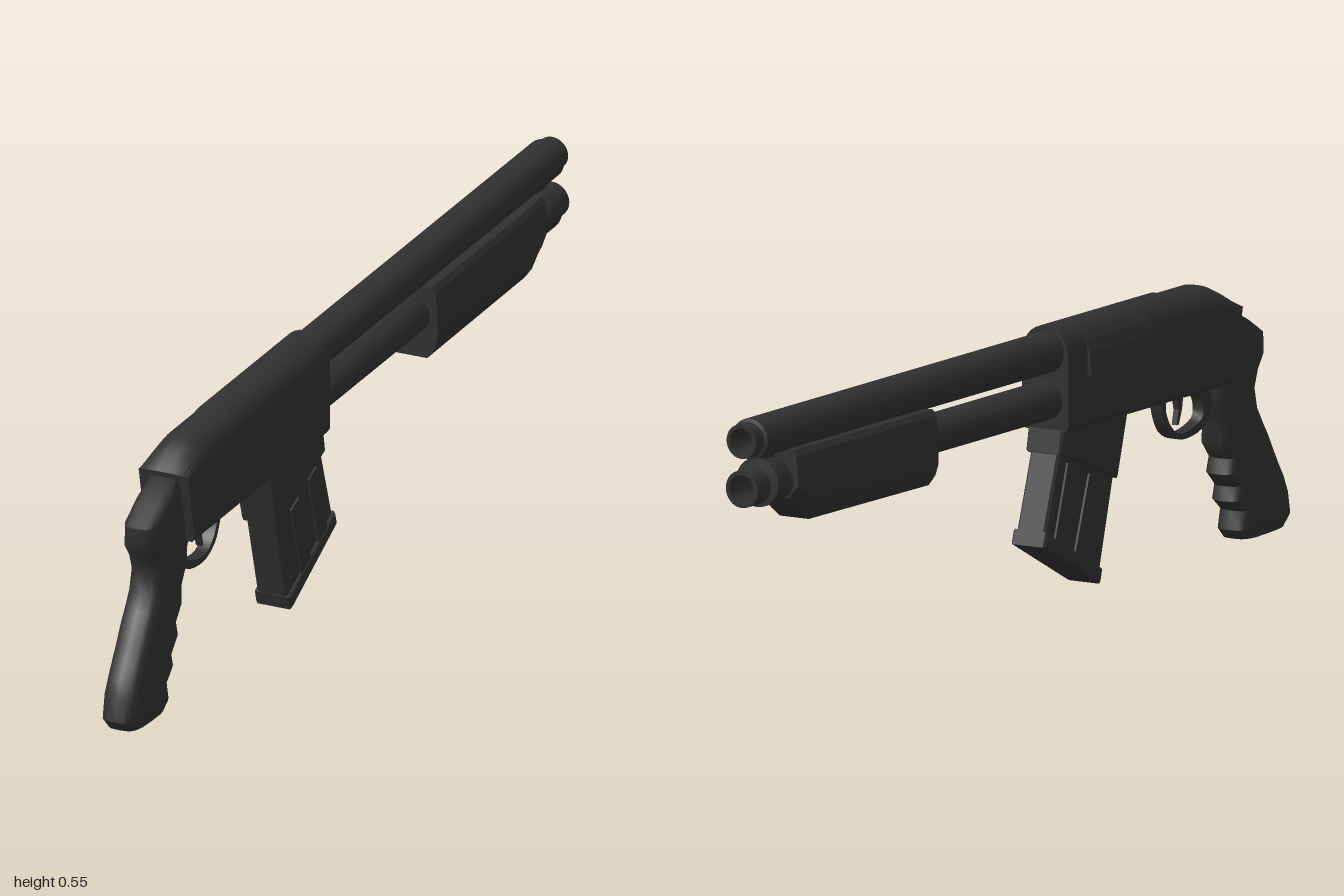
import * as THREE from 'three';
import { toCreasedNormals } from 'three/addons/utils/BufferGeometryUtils.js';

const CX = 0.005; // centre plane of the body

// Skin a row of equal-length point loops, with closed ends facing outwards
function loft(loops, crease = 0.6) {
  const n = loops[0].length, pos = loops.flat(2), idx = [];
  for (let i = 0; i < loops.length - 1; i++) {
    for (let j = 0; j < n; j++) {
      const a = i * n + j, b = i * n + (j + 1) % n;
      idx.push(a, b, a + n, b, b + n, a + n);
    }
  }
  [0, loops.length - 1].forEach((row) => {
    const c = pos.length / 3;
    for (let k = 0; k < 3; k++) pos.push(loops[row].reduce((s, p) => s + p[k], 0) / n);
    for (let j = 0; j < n; j++) {
      const a = row * n + j, b = row * n + (j + 1) % n;
      if (row === 0) idx.push(c, b, a); else idx.push(c, a, b);
    }
  });
  // turn the faces around when the enclosed volume is negative
  const v = (i) => new THREE.Vector3().fromArray(pos, i * 3);
  let volume = 0;
  for (let i = 0; i < idx.length; i += 3) volume += v(idx[i]).dot(v(idx[i + 1]).cross(v(idx[i + 2])));
  if (volume < 0) idx.reverse();
  const g = new THREE.BufferGeometry();
  g.setAttribute('position', new THREE.Float32BufferAttribute(pos, 3));
  g.setIndex(idx);
  return toCreasedNormals(g, crease);
}

// Side outline given as (z, y), extruded symmetrically across x
function sideExtrude(points, width, bevel = 0, hole = null) {
  const toShape = (list) => list.map(([z, y]) => new THREE.Vector2(z, y));
  const shape = new THREE.Shape(toShape(points));
  if (hole) shape.holes.push(new THREE.Path(toShape(hole)));
  const depth = width - 2 * bevel;
  const g = new THREE.ExtrudeGeometry(shape, {
    depth, bevelEnabled: bevel > 0, bevelSize: bevel, bevelOffset: -bevel, bevelThickness: bevel, bevelSegments: 1,
  });
  g.translate(0, 0, -depth / 2).rotateY(-Math.PI / 2).translate(CX, 0, 0);
  return g;
}

// Turned part along z from (radius, z) points
function turned(profile, y, x = CX) {
  const g = new THREE.LatheGeometry(profile.map(([r, z]) => new THREE.Vector2(r, -z)), 32);
  return toCreasedNormals(g.rotateX(-Math.PI / 2).translate(x, y, 0), 0.6);
}

export function createModel() {
  const group = new THREE.Group();
  const metal = new THREE.MeshStandardMaterial({ color: 0x303030, side: THREE.DoubleSide });
  metal.name = 'dark grey';
  const add = (name, geometry) => {
    const mesh = new THREE.Mesh(geometry, metal);
    mesh.name = name;
    group.add(mesh);
  };

  // Receiver: straight walls, domed top, sloping rear
  const receiverLoop = ([z, dome, slant]) => {
    const loop = [[-0.048, 0.337], [-0.055, 0.347]];
    for (let i = 0; i <= 14; i++) {
      const a = Math.PI * (1 - i / 14);
      loop.push([0.055 * Math.cos(a), 0.489 + dome * Math.sin(a)]);
    }
    loop.push([0.055, 0.347], [0.048, 0.337]);
    return loop.map(([x, y]) => [x + CX, y, z - slant * Math.max(0, 0.489 - y)]);
  };
  add('receiver', loft([
    [0.13, 0.061, 0], [0.54, 0.061, 0], [0.55, 0.057, 0], [0.67, 0.057, 0],
    [0.705, 0.049, 0.05], [0.735, 0.035, 0.1], [0.777, 0.003, 0.21],
  ].map(receiverLoop)));

  // Raised cover over the ejection port
  const cover = new THREE.Shape([[-0.04, 0.443], [-0.06, 0.443], [-0.056, 0.49],
    [-0.046, 0.515], [-0.036, 0.53], [-0.02, 0.52]].map(([x, y]) => new THREE.Vector2(x, y)));
  add('ejectionCover', new THREE.ExtrudeGeometry(cover, { depth: 0.24, bevelEnabled: false }).translate(0, 0, 0.2));

  // Barrel and lower tube with open bores
  add('barrel', turned([[0.042, 0.14], [0.042, -0.968], [0.035, -0.97], [0.035, -1],
    [0.027, -1], [0.027, -0.9], [0, -0.9]], 0.496, 0.003));
  add('lowerTube', turned([[0.04, 0.14], [0.04, -0.87], [0.034, -0.88], [0.034, -0.945], [0.038, -0.947],
    [0.038, -0.995], [0.029, -0.995], [0.029, -0.9], [0, -0.9]], 0.398));
  add('tubeClamp', turned([[0.03, -0.88], [0.044, -0.882], [0.05, -0.9], [0.05, -0.938], [0.03, -0.94]], 0.403));
  add('clampBlock', new THREE.BoxGeometry(0.03, 0.03, 0.04).translate(CX, 0.455, -0.918));

  // Sliding fore-end, chamfered below and tapered toward the muzzle
  const foreLoop = ([z, bottom, w]) => [
    [-0.044, 0.462], [-0.052, 0.45], [-0.056, 0.42], [-0.057, 0.352 + (bottom - 0.307) * 0.6],
    [-0.05, bottom + 0.022], [-0.034, bottom],
    [0.034, bottom], [0.05, bottom + 0.022], [0.057, 0.352 + (bottom - 0.307) * 0.6],
    [0.056, 0.42], [0.052, 0.45], [0.044, 0.462],
  ].map(([x, y]) => [x * w + CX, y, z]);
  add('foreEnd', loft([[-0.355, 0.307, 1], [-0.8, 0.31, 1], [-0.835, 0.333, 0.97], [-0.866, 0.362, 0.9]].map(foreLoop), 0.4));

  // Pistol grip: rounded sections from front edge to back edge, with finger grooves
  const gripLoops = [
    [0.825, 0.004, 0.98, 0.01, 0.036], [0.808, 0.024, 1.0, 0.034, 0.042],
    [0.818, 0.062, 0.99, 0.08, 0.042], [0.787, 0.086, 0.975, 0.115, 0.0415],
    [0.796, 0.115, 0.957, 0.14, 0.041], [0.765, 0.144, 0.936, 0.176, 0.041],
    [0.775, 0.175, 0.917, 0.207, 0.04], [0.748, 0.207, 0.898, 0.235, 0.04],
    [0.75, 0.246, 0.877, 0.267, 0.039], [0.727, 0.28, 0.868, 0.31, 0.039],
    [0.72, 0.337, 0.882, 0.345, 0.039], [0.725, 0.37, 0.904, 0.374, 0.039],
    [0.73, 0.42, 0.902, 0.417, 0.039], [0.745, 0.46, 0.85, 0.447, 0.036], [0.75, 0.482, 0.785, 0.48, 0.028],
  ].map(([fz, fy, bz, by, w]) => Array.from({ length: 20 }, (_, i) => {
    const a = (i / 20) * Math.PI * 2;
    const round = (t) => Math.sign(t) * Math.pow(Math.abs(t), 0.55);
    const u = 0.5 + 0.5 * round(Math.cos(a));
    return [CX + w * round(Math.sin(a)), fy + (by - fy) * u, fz + (bz - fz) * u];
  }));
  add('grip', loft(gripLoops, 0.8));

  // Trigger guard and trigger
  const guardCurve = (pts) => new THREE.SplineCurve(pts.map((p) => new THREE.Vector2(...p)))
    .getPoints(24).map((p) => [p.x, p.y]);
  const outer = guardCurve([[0.73, 0.345], [0.728, 0.285], [0.69, 0.25], [0.62, 0.24], [0.57, 0.26], [0.545, 0.3], [0.535, 0.345]]);
  const inner = guardCurve([[0.66, 0.333], [0.692, 0.31], [0.69, 0.27], [0.62, 0.252], [0.58, 0.27], [0.558, 0.305], [0.56, 0.333]]);
  add('triggerGuard', toCreasedNormals(sideExtrude(outer, 0.026, 0, inner), 0.5));
  add('trigger', sideExtrude([[0.635, 0.34], [0.605, 0.34], [0.615, 0.3], [0.608, 0.27], [0.616, 0.27], [0.628, 0.3]], 0.012));

  // Magazine: collar, body, ribs and base plate
  add('magazineCollar', sideExtrude([[0.375, 0.345], [0.336, 0.21], [0.121, 0.292], [0.131, 0.345]], 0.084, 0.005));
  add('magazineBody', sideExtrude([[0.366, 0.34], [0.28, 0.028], [0.073, 0.13], [0.133, 0.31]], 0.068, 0.005));
  add('magazineRibs', sideExtrude([[0.272, 0.22], [0.235, 0.235], [0.183, 0.085], [0.225, 0.065]], 0.077));
  add('magazineRibs', sideExtrude([[0.192, 0.255], [0.155, 0.27], [0.108, 0.122], [0.148, 0.102]], 0.077));
  add('magazineBase', sideExtrude([[0.283, 0.035], [0.274, 0.005], [0.064, 0.112], [0.074, 0.142]], 0.08, 0.004));

  return group;
}
